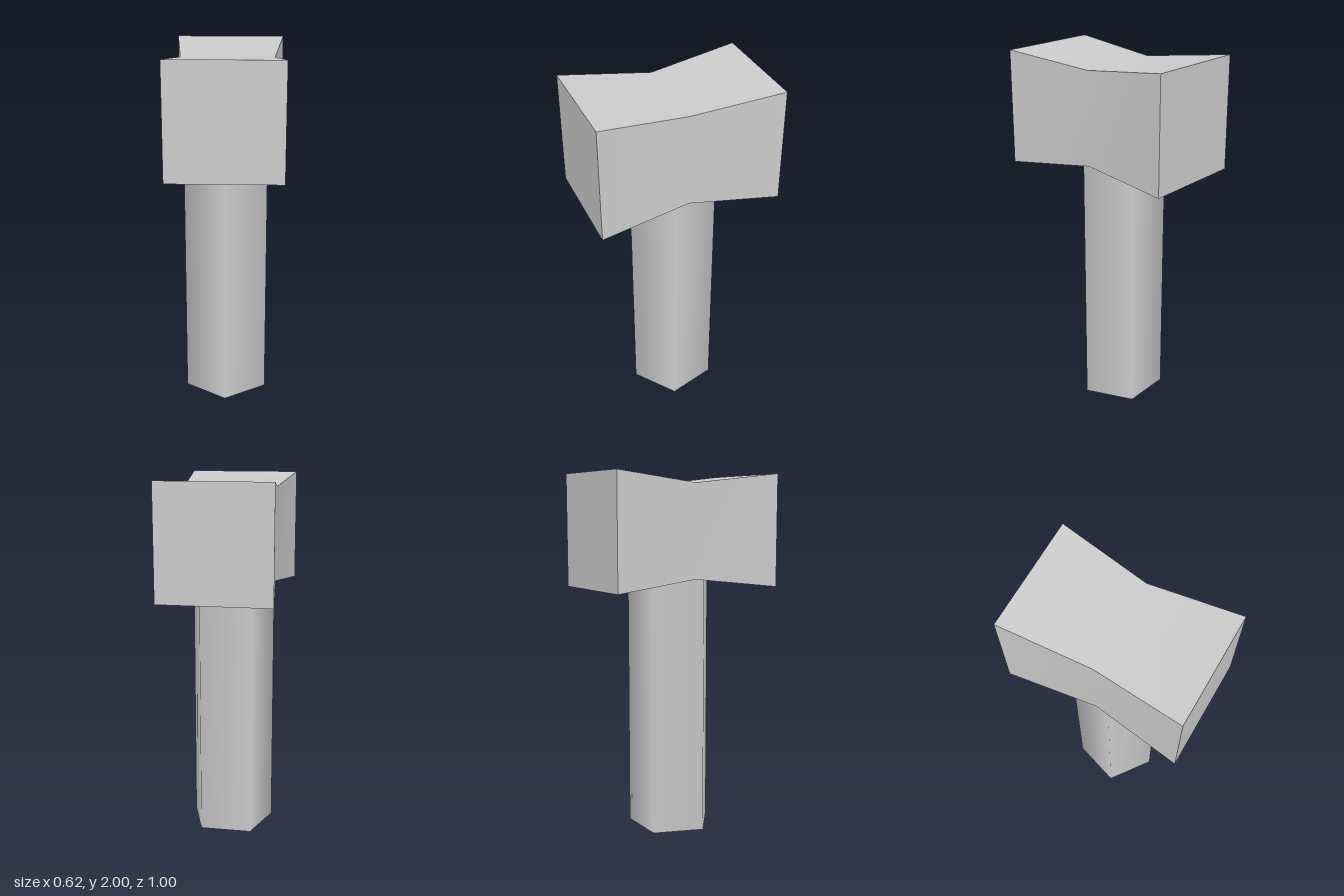
import * as THREE from 'three';

export function createModel() {
  const model = new THREE.Group();
  const material = new THREE.MeshStandardMaterial({ color: 0xcccccc });

  // Mallet head: a block pinched at its middle section
  const headGeometry = new THREE.BoxGeometry(0.62, 0.627, 1, 1, 1, 2);
  const position = headGeometry.attributes.position;
  for (let i = 0; i < position.count; i++) {
    if (Math.abs(position.getZ(i)) < 0.01) {
      position.setX(i, position.getX(i) * 0.825);
      position.setY(i, position.getY(i) * 0.822);
    }
  }
  headGeometry.computeVertexNormals(); // smooth across the pinch, sharp at box edges
  const head = new THREE.Mesh(headGeometry, material);
  head.name = 'head';
  head.position.y = 2 - 0.627 / 2;
  model.add(head);

  // Five-sided handle with smooth shading, let into the head
  const handleHeight = 1.48;
  const handle = new THREE.Mesh(
    new THREE.CylinderGeometry(0.243, 0.243, handleHeight, 5), material);
  handle.name = 'handle';
  handle.position.set(-0.008, handleHeight / 2, -0.011);
  model.add(handle);

  return model;
}
